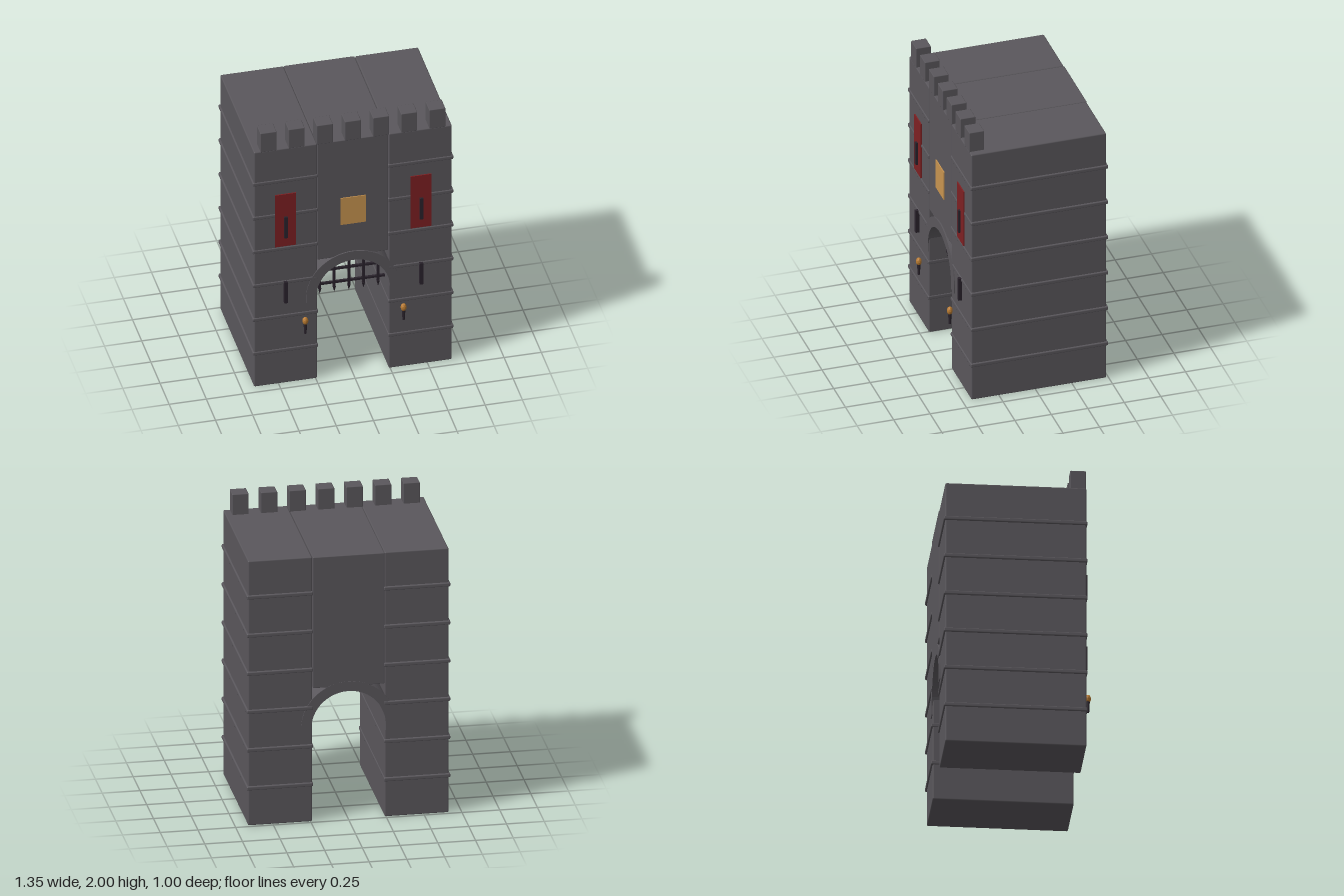
import * as THREE from 'three';
import { RoundedBoxGeometry } from 'three/addons/geometries/RoundedBoxGeometry.js';

export function createModel() {
  const model = new THREE.Group();
  model.name = 'castleGate';

  const material = (name, color, flatShading = false) => {
    const m = new THREE.MeshStandardMaterial({ color, flatShading });
    m.name = name;
    return m;
  };
  const stone = material('stone', 0x5a575c);
  const iron = material('iron', 0x2a232c);
  const red = material('bannerRed', 0x7e2022);
  const gold = material('gold', 0xc99550);
  const flameColor = material('flame', 0xb87a30, true);

  const add = (name, geometry, mat, x = 0, y = 0, z = 0, parent = model) => {
    const mesh = new THREE.Mesh(geometry, mat);
    mesh.name = name;
    mesh.position.set(x, y, z);
    parent.add(mesh);
    return mesh;
  };
  // Box given by its limits, with an optional bevel
  const block = (name, mat, [x0, x1], [y0, y1], [z0, z1], bevel = 0, parent = model) => {
    const size = [x1 - x0, y1 - y0, z1 - z0];
    const geometry = bevel
      ? new RoundedBoxGeometry(...size, 1, bevel)
      : new THREE.BoxGeometry(...size);
    return add(name, geometry, mat, (x0 + x1) / 2, (y0 + y1) / 2, (z0 + z1) / 2, parent);
  };
  const span = (centre, width) => [centre - width / 2, centre + width / 2];

  // Two towers with their bands, banners, arrow slits and torches
  for (const side of [-1, 1]) {
    const tower = new THREE.Group();
    tower.name = side > 0 ? 'leftTower' : 'rightTower';
    model.add(tower);

    block('towerBody', stone, span(side * 0.4525, 0.425), [0, 1.857], [-0.485, 0.44], 0.009, tower);
    for (let i = 0; i < 6; i++) {
      block('stoneBand', stone, span(side * 0.455, 0.44), span(0.263 + i * 0.268, 0.028),
        [-0.496, 0.446], 0.008, tower);
    }

    block('banner', red, span(side * 0.455, 0.14), [1.09, 1.5], [0.442, 0.45], 0, tower);
    block('upperArrowSlit', iron, span(side * 0.455, 0.023), [1.16, 1.325], [0.43, 0.464], 0, tower);
    block('lowerArrowSlit', iron, span(side * 0.455, 0.023), [0.645, 0.81], [0.43, 0.464], 0, tower);

    const torch = new THREE.Group();
    torch.name = 'torch';
    torch.position.set(side * 0.33, 0, 0.48);
    tower.add(torch);
    add('torchHandle', new THREE.CylinderGeometry(0.013, 0.008, 0.09, 8), iron, 0, 0.443, 0, torch);
    const flame = add('torchFlame', new THREE.IcosahedronGeometry(0.02, 1), flameColor, 0, 0.497, 0, torch);
    flame.scale.y = 1.45;
  }

  // Wall above the gateway with its gold plaque
  block('gateWall', stone, [-0.239, 0.237], [0.935, 1.855], [-0.489, 0.437], 0.006);
  block('plaque', gold, [-0.085, 0.085], [1.19, 1.4], [0.436, 0.443]);

  // Vaulted arch running the full depth of the gate
  const springY = 0.655, footY = 0.61, outer = 0.315, inner = 0.247;
  const arch = new THREE.Shape();
  arch.moveTo(outer, footY);
  arch.lineTo(outer, springY);
  arch.absarc(0, springY, outer, 0, Math.PI, false);
  arch.lineTo(-outer, footY);
  arch.lineTo(-inner, footY);
  arch.lineTo(-inner, springY);
  arch.absarc(0, springY, inner, Math.PI, 0, true);
  arch.lineTo(inner, footY);
  arch.closePath();
  add('arch', new THREE.ExtrudeGeometry(arch, { depth: 0.936, bevelEnabled: false, curveSegments: 20 }),
    stone, 0, 0, -0.491);

  // Raised portcullis with spear points
  const portcullis = new THREE.Group();
  portcullis.name = 'portcullis';
  portcullis.position.z = 0.325;
  model.add(portcullis);
  for (let i = -2; i <= 2; i++) {
    const x = i * 0.098;
    block('verticalBar', iron, span(x, 0.016), [0.63, 0.95], span(0, 0.016), 0, portcullis);
    const spike = add('spike', new THREE.ConeGeometry(0.012, 0.045, 6), iron, x, 0.607, 0, portcullis);
    spike.rotation.x = Math.PI;
  }
  for (const y of [0.665, 0.77, 0.875]) {
    block('crossBar', iron, [-0.242, 0.242], span(y, 0.015), span(0, 0.016), 0, portcullis);
  }

  // Battlements along the front edge
  for (let i = -3; i <= 3; i++) {
    block('merlon', stone, span(i * 0.189, 0.109), [1.85, 2], [0.337, 0.44], 0.005);
  }

  return model;
}
